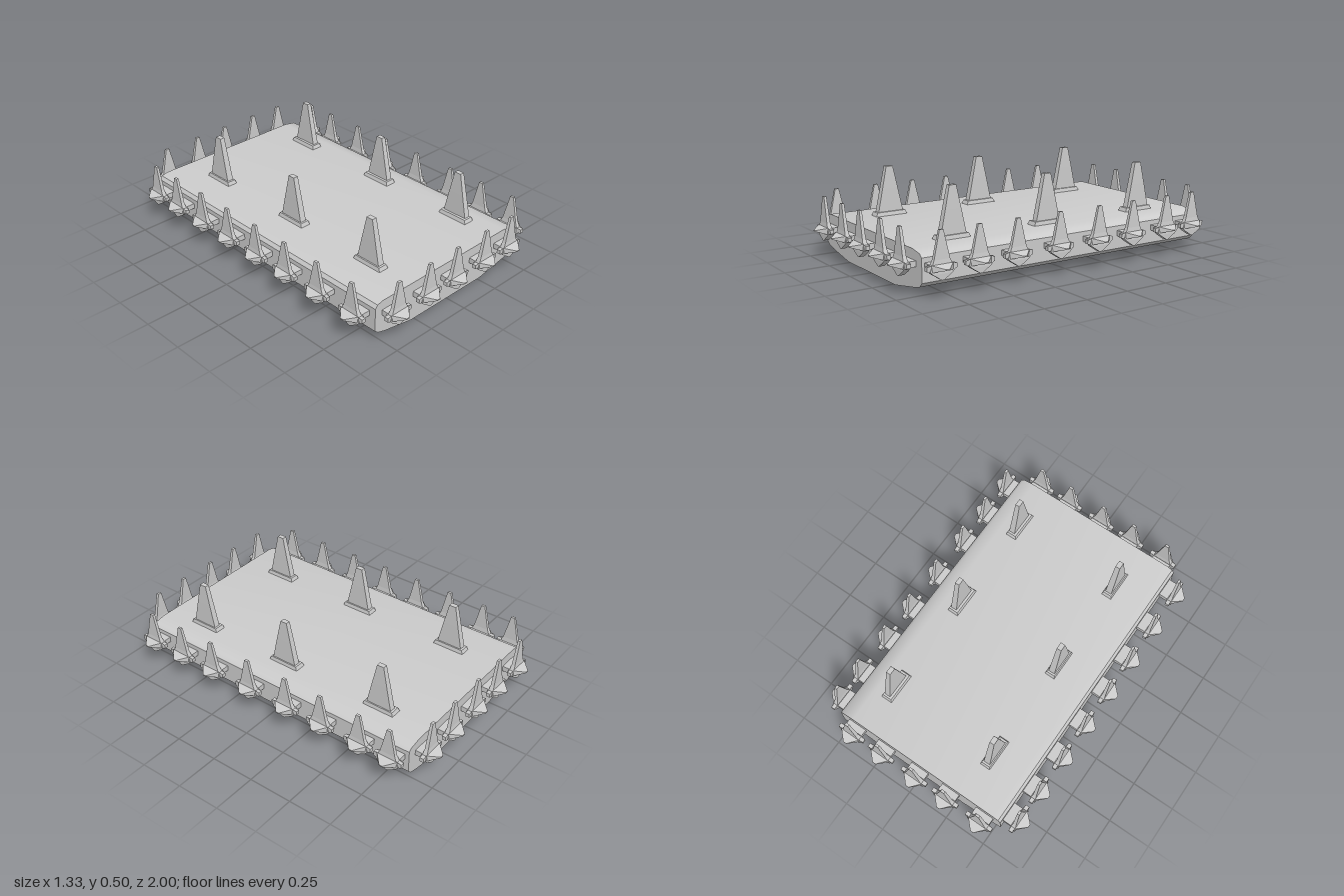
import * as THREE from 'three';
import { toCreasedNormals } from 'three/addons/utils/BufferGeometryUtils.js';

const grey = new THREE.MeshStandardMaterial({ color: 0xcccccc });
const greyFlat = new THREE.MeshStandardMaterial({ color: 0xcccccc, flatShading: true });

// Closed loft through rectangles; each section is [y, halfX, halfZ, shiftX]
function loft(sections) {
  const pos = [];
  const index = [];
  for (const [y, a, b, dx = 0] of sections) {
    pos.push(dx - a, y, b, dx + a, y, b, dx + a, y, -b, dx - a, y, -b);
  }
  const last = (sections.length - 1) * 4;
  for (let s = 0; s < last; s += 4) {
    for (let i = 0; i < 4; i++) {
      const j = (i + 1) % 4;
      index.push(s + i, s + j, s + 4 + j, s + i, s + 4 + j, s + 4 + i);
    }
  }
  index.push(0, 2, 1, 0, 3, 2, last, last + 1, last + 2, last, last + 2, last + 3);
  const g = new THREE.BufferGeometry();
  g.setAttribute('position', new THREE.Float32BufferAttribute(pos, 3));
  g.setIndex(index);
  const flat = g.toNonIndexed();
  flat.computeVertexNormals();
  return flat;
}

function mesh(name, geometry, material = greyFlat) {
  const m = new THREE.Mesh(geometry, material);
  m.name = name;
  return m;
}

// Upright fin of an edge spike
const finGeometry = loft([
  [0.10, 0.006, 0.016], [0.132, 0.055, 0.017], [0.146, 0.068, 0.016],
  [0.175, 0.055, 0.013], [0.20, 0.044, 0.010], [0.343, 0.011, 0.007],
]);

// Flat blade of an edge spike: stem, wide collar and outward point
const bladeGeometry = loft([
  [-0.08, 0.056, 0.015], [-0.016, 0.056, 0.015], [-0.012, 0.083, 0.011],
  [0.010, 0.083, 0.011], [0.012, 0.060, 0.018], [0.065, 0.010, 0.003],
]).rotateX(Math.PI / 2).translate(0, 0.16, 0);

function edgeSpike(x, z, turn) {
  const g = new THREE.Group();
  g.name = 'edgeSpike';
  g.add(mesh('fin', finGeometry), mesh('blade', bladeGeometry));
  g.position.set(x, 0, z);
  g.rotation.y = turn;
  return g;
}

export function createModel() {
  const model = new THREE.Group();
  model.name = 'spikedSlab';

  // Slab with a shallow rounded belly
  const profile = [
    [-0.27, 0.004], [0.27, 0.004], [0.46, 0.038], [0.515, 0.052], [0.538, 0.075],
    [0.538, 0.20], [0.52, 0.217], [0.45, 0.229], [-0.48, 0.229], [-0.518, 0.22],
    [-0.532, 0.20], [-0.532, 0.07], [-0.51, 0.052], [-0.46, 0.038],
  ];
  const shape = new THREE.Shape(profile.map(([x, y]) => new THREE.Vector2(x, y)));
  const slab = new THREE.ExtrudeGeometry(shape, { depth: 1.76, bevelEnabled: false });
  slab.translate(0, 0, -0.88);
  model.add(mesh('slab', toCreasedNormals(slab, 0.6), grey));

  // Spikes along the front and back edges
  for (const x of [-0.43, -0.207, 0, 0.225, 0.427]) {
    model.add(edgeSpike(x, 0.935, 0), edgeSpike(x, -0.935, Math.PI));
  }

  // Spikes along the left and right edges
  for (const z of [-0.8, -0.615, -0.375, -0.145, 0.11, 0.37, 0.595, 0.81]) {
    model.add(edgeSpike(0.6, z, Math.PI / 2));
  }
  for (const z of [-0.8, -0.61, -0.385, -0.16, 0.07, 0.30, 0.54, 0.785]) {
    model.add(edgeSpike(-0.6, z, -Math.PI / 2));
  }

  // Tall spikes on the deck, two rows of three
  const leftSpike = loft([
    [0.215, 0.036, 0.098, -0.006], [0.25, 0.028, 0.085, -0.004],
    [0.251, 0.018, 0.074], [0.38, 0.016, 0.046], [0.50, 0.013, 0.020],
  ]);
  const rightSpike = loft([
    [0.215, 0.034, 0.098], [0.25, 0.026, 0.085],
    [0.251, 0.019, 0.074], [0.38, 0.017, 0.046], [0.50, 0.014, 0.020],
  ]);
  for (const z of [-0.59, 0.033, 0.613]) {
    const left = mesh('deckSpikeLeft', leftSpike);
    left.position.set(0.373, 0, z);
    const right = mesh('deckSpikeRight', rightSpike);
    right.position.set(-0.295, 0, z);
    model.add(left, right);
  }

  return model;
}
